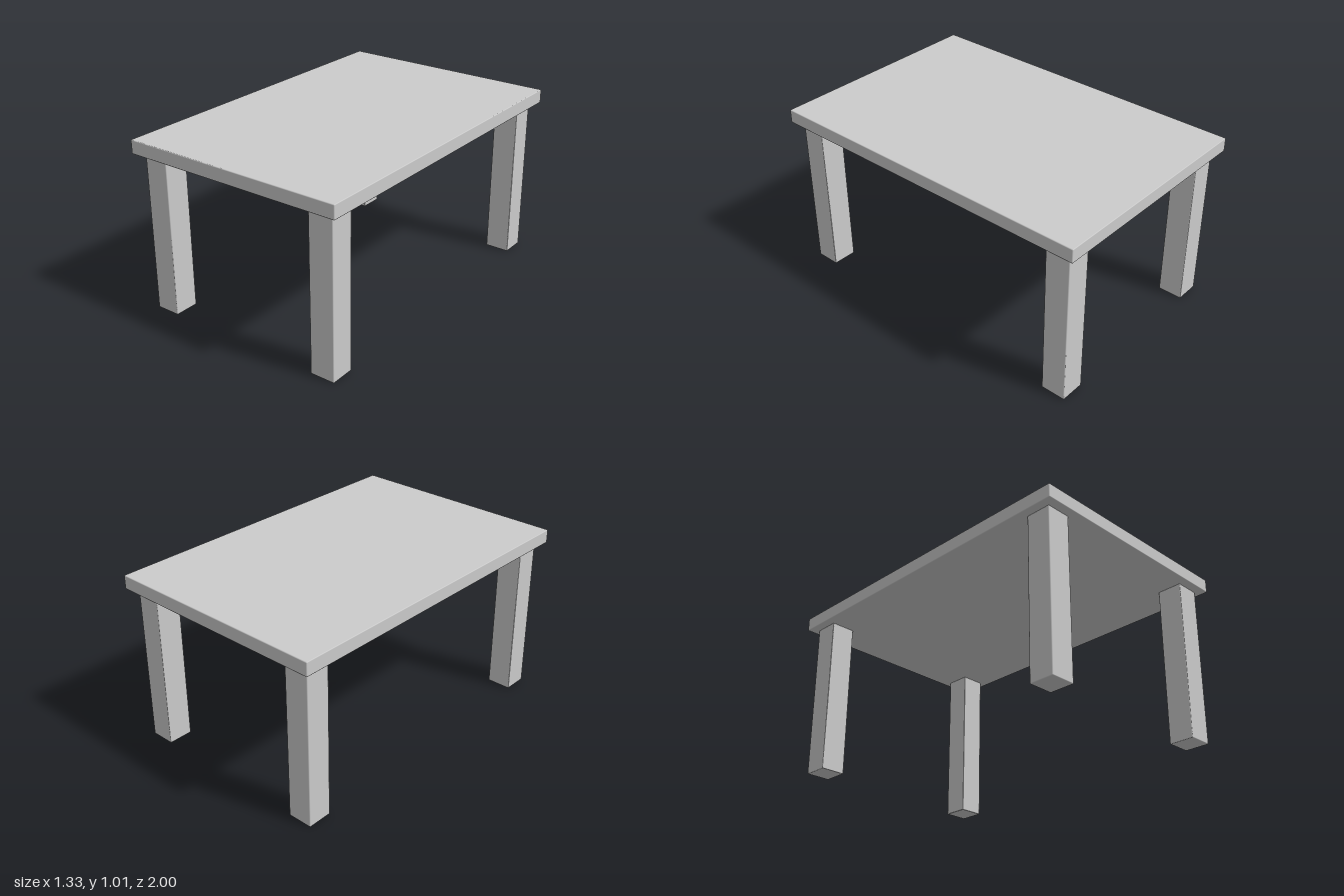
import * as THREE from 'three';
import { RoundedBoxGeometry } from 'three/addons/geometries/RoundedBoxGeometry.js';

const HEIGHT = 1.007, TOP_THICKNESS = 0.08, LEG_WIDTH = 0.146, EDGE = 0.005;

export function createModel() {
  const table = new THREE.Group();
  table.name = 'table';
  const material = new THREE.MeshStandardMaterial({ color: 0xcccccc });

  // Box with slightly eased edges, placed by the centre of its base
  const addBox = (name, w, h, d, x, y, z) => {
    const mesh = new THREE.Mesh(new RoundedBoxGeometry(w, h, d, 1, EDGE), material);
    mesh.name = name;
    mesh.position.set(x, y + h / 2, z);
    table.add(mesh);
  };

  // Tabletop slab
  const legHeight = HEIGHT - TOP_THICKNESS;
  addBox('tabletop', 1.33, TOP_THICKNESS, 2, 0, legHeight, 0);

  // Four square legs, inset from the corners
  for (const [sideX, nameX] of [[1, 'Left'], [-1, 'Right']]) {
    for (const [sideZ, nameZ] of [[1, 'front'], [-1, 'back']]) {
      addBox(`${nameZ}${nameX}Leg`, LEG_WIDTH, legHeight, LEG_WIDTH, sideX * 0.543, 0, sideZ * 0.877);
    }
  }
  return table;
}
